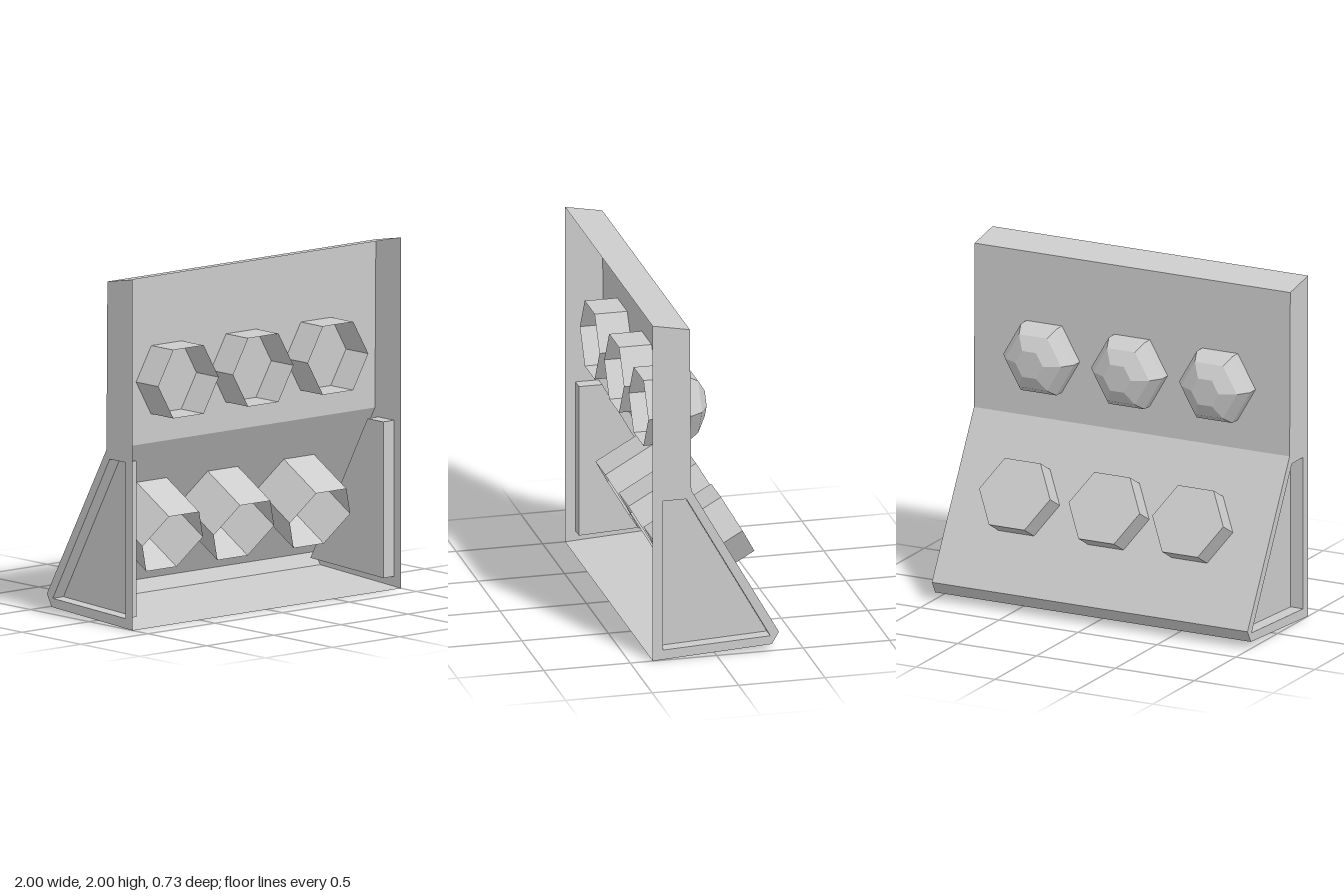
import * as THREE from 'three';

const material = new THREE.MeshStandardMaterial({ color: 0xcccccc, flatShading: true, side: THREE.DoubleSide });

function addMesh(parent, name, geometry) {
  const mesh = new THREE.Mesh(geometry, material);
  mesh.name = name;
  parent.add(mesh);
  return mesh;
}

// Folded sheet: a [z, y] profile swept along x
function sheet(profile, x0, x1) {
  const pos = [];
  for (let i = 0; i < profile.length - 1; i++) {
    const [z0, y0] = profile[i], [z1, y1] = profile[i + 1];
    const a = [x0, y0, z0], b = [x1, y0, z0], c = [x1, y1, z1], d = [x0, y1, z1];
    pos.push(...a, ...b, ...c, ...a, ...c, ...d);
  }
  const g = new THREE.BufferGeometry();
  g.setAttribute('position', new THREE.Float32BufferAttribute(pos, 3));
  g.computeVertexNormals();
  return g;
}

const toShape = (pts) => new THREE.Shape(pts.map(([z, y]) => new THREE.Vector2(z, y)));

// Flat plate in the z-y plane at a given x
const plate = (shape, x) => new THREE.ShapeGeometry(shape).rotateY(-Math.PI / 2).translate(x, 0, 0);

// Six-sided shell around y with corners on the x axis, from [radius, height] points
const hexShell = (pts) =>
  new THREE.LatheGeometry(pts.map(([r, h]) => new THREE.Vector2(r, h)), 6, Math.PI / 2);

export function createModel() {
  const model = new THREE.Group();
  model.name = 'slopedConsole';

  // Thin casing, open at the front
  const outline = [[0.37, 2], [0.155, 1.96], [0.147, 1], [-0.36, 0.11], [-0.32, 0.04], [0.37, 0]];
  addMesh(model, 'casing', sheet(outline, -1, 1));

  // Side walls with a sunken four-cornered pocket
  const pocket = [[0.31, 0.06], [0.31, 0.95], [0.175, 0.95], [-0.31, 0.09]];
  for (const side of [-1, 1]) {
    const label = side > 0 ? 'left' : 'right';
    const wall = toShape(outline);
    wall.holes.push(toShape(pocket));
    addMesh(model, label + 'SideWall', plate(wall, side));
    addMesh(model, label + 'PocketRim', sheet([...pocket, pocket[0]], side * 0.92, side));
    addMesh(model, label + 'PocketFloor', plate(toShape(pocket), side * 0.92));
  }

  // Upper row: hexagonal domes with open sleeves inside the casing
  const R = 0.225;
  const domeProfile = [[R, -0.19], [R, 0.065], [R * 0.79, 0.133], [R * 0.39, 0.182], [0, 0.182]];
  for (const x of [-0.557, 0, 0.557]) {
    const dome = addMesh(model, 'dome', hexShell(domeProfile));
    dome.position.set(x, 1.36, 0.15);
    dome.rotation.x = -Math.PI / 2;
  }

  // Lower row: flat hexagonal knobs square to the sloping panel
  const knobProfile = [[R, -0.32], [R, 0.13], [0, 0.13]];
  for (const x of [-0.54, -0.01, 0.557]) {
    const knob = addMesh(model, 'knob', hexShell(knobProfile));
    knob.position.set(x, 0.585, -0.092);
    knob.rotation.x = -1.052;
  }

  return model;
}
